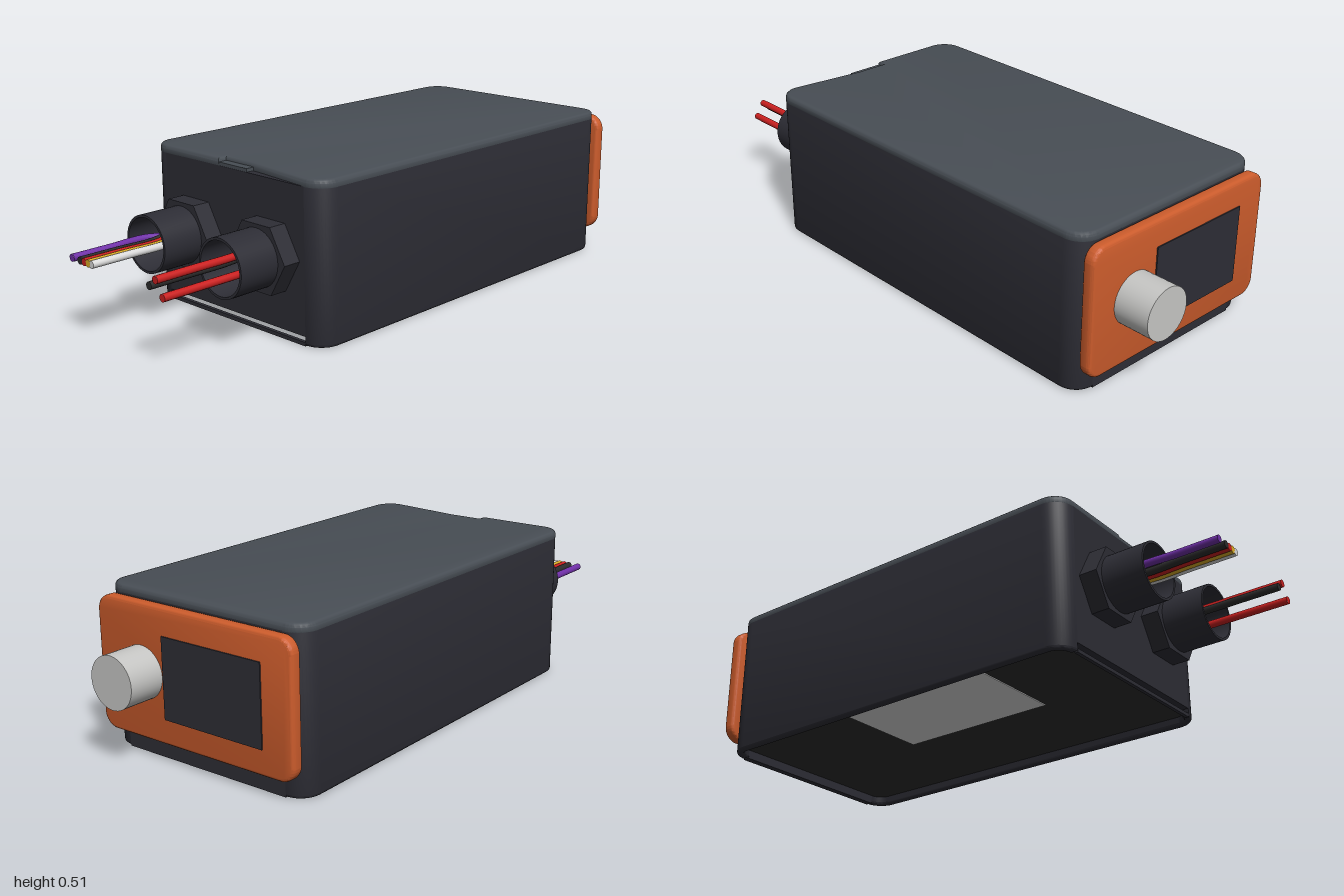
import * as THREE from 'three';
import { toCreasedNormals } from 'three/addons/utils/BufferGeometryUtils.js';

const mat = (name, color, side = THREE.FrontSide) => {
  const m = new THREE.MeshStandardMaterial({ color, side });
  m.name = name;
  return m;
};

// rounded rectangle centred on (cx, cy)
function roundRect(w, h, r, cx = 0, cy = 0) {
  const s = new THREE.Shape(), x = w / 2 - r, y = h / 2 - r;
  s.absarc(cx + x, cy + y, r, 0, Math.PI / 2);
  s.absarc(cx - x, cy + y, r, Math.PI / 2, Math.PI);
  s.absarc(cx - x, cy - y, r, Math.PI, Math.PI * 1.5);
  s.absarc(cx + x, cy - y, r, Math.PI * 1.5, Math.PI * 2);
  s.closePath();
  return s;
}

const circle = (x, y, r) => new THREE.Path().absarc(x, y, r, 0, Math.PI * 2, true);

// extrude with optional bevel that stays inside the outline
function extrude(shape, depth, bevel = 0) {
  const g = new THREE.ExtrudeGeometry(shape, {
    depth, curveSegments: 24, bevelEnabled: bevel > 0, bevelSize: bevel,
    bevelThickness: bevel, bevelOffset: -bevel, bevelSegments: 3,
  });
  return toCreasedNormals(g, 0.6);
}

export function createModel() {
  const group = new THREE.Group();
  const M = {
    body: mat('charcoal casing', 0x2d2d35),
    lid: mat('slate lid', 0x484e55),
    orange: mat('orange panel', 0xcc5c2c),
    silver: mat('silver knob', 0xc6c6c4),
    purple: mat('purple wire', 0x7030a8),
    red: mat('red wire', 0xcc2020),
    yellow: mat('yellow wire', 0xdcae28),
    white: mat('white', 0xdcdcdc),
    black: mat('black', 0x2c2c2c),
    tan: mat('tan board', 0xd59270),
  };
  const add = (name, geo, m, x = 0, y = 0, z = 0) => {
    const mesh = new THREE.Mesh(geo, m);
    mesh.name = name;
    mesh.position.set(x, y, z);
    group.add(mesh);
    return mesh;
  };
  const box = (name, m, x0, x1, y0, y1, z0, z1) => add(name,
    new THREE.BoxGeometry(x1 - x0, y1 - y0, z1 - z0), m,
    (x0 + x1) / 2, (y0 + y1) / 2, (z0 + z1) / 2);

  // side walls: C-shaped plan, drawn in (x, -z) and extruded upward
  const F = 0.57, B = -0.84, W = 0.38, R = 0.07, T = 0.025, E = 0.31;
  for (const side of [1, -1]) {
    const s = new THREE.Shape();
    const pts = [];
    const arc = (z, r, a0, a1) => {
      for (let i = 0; i <= 10; i++) {
        const a = a0 + (a1 - a0) * i / 10;
        pts.push(new THREE.Vector2(side * (W - R + r * Math.cos(a)), -z + r * Math.sin(a)));
      }
    };
    arc(F - R, R, -Math.PI / 2, 0);
    arc(B + R, R, 0, Math.PI / 2);
    arc(B + R, R - T, Math.PI / 2, 0);
    arc(F - R, R - T, 0, -Math.PI / 2);
    s.setFromPoints(pts);
    const wall = add(side > 0 ? 'leftWall' : 'rightWall', extrude(s, 0.475, 0.01), M.body, 0, 0.01, 0);
    wall.rotation.x = -Math.PI / 2;
  }

  // back frame around the control opening, and the front sill below a slot
  box('backLowerWall', M.body, -E, E, 0, 0.09, B, B + T);
  box('backUpperWall', M.body, -E, E, 0.45, 0.486, B, B + T);
  box('frontSill', M.body, -E, E, 0, 0.012, F - 0.012, F);

  // front plate with two cable holes
  const holeX = [-0.17, 0.17], holeY = 0.257;
  const plate = new THREE.Shape([[-E, 0.03], [E, 0.03], [E, 0.486], [-E, 0.486]]
    .map(p => new THREE.Vector2(...p)));
  holeX.forEach(x => plate.holes.push(circle(x, holeY, 0.047)));
  add('frontPlate', extrude(plate, T), M.body, 0, 0, F - T);

  // recessed floor with a pale label
  box('floor', M.black, -0.36, 0.36, 0.03, 0.042, B + T, F - T);
  box('floorLabel', M.white, -0.35, 0, 0.027, 0.031, -0.33, 0.23);

  // lid with a small finger notch at the front edge
  const lidShape = new THREE.Shape();
  lidShape.moveTo(0.056, -F);
  lidShape.absarc(W - R, -F + R, R, -Math.PI / 2, 0);
  lidShape.absarc(W - R, -B - R, R, 0, Math.PI / 2);
  lidShape.absarc(-W + R, -B - R, R, Math.PI / 2, Math.PI);
  lidShape.absarc(-W + R, -F + R, R, Math.PI, Math.PI * 1.5);
  lidShape.lineTo(-0.056, -F);
  lidShape.lineTo(-0.056, -F + 0.03);
  lidShape.lineTo(0.056, -F + 0.03);
  lidShape.closePath();
  const lid = add('lid', extrude(lidShape, 0.013, 0.012), M.lid, 0, 0.485, 0);
  lid.rotation.x = -Math.PI / 2;
  box('lidNotchFloor', M.lid, -0.068, 0.068, 0.485, 0.497, F - 0.043, F - 0.001);

  // back control panel, screen and knob
  add('controlPanel', extrude(roundRect(0.75, 0.42, 0.05, 0, 0.274), 0.02, 0.01), M.orange, 0, 0, -0.87);
  box('screen', M.body, -0.265, 0.11, 0.145, 0.4, -0.884, -0.876);
  const knob = add('knob', new THREE.CylinderGeometry(0.083, 0.083, 0.13, 48), M.silver, 0.198, 0.273, -0.935);
  knob.rotation.x = Math.PI / 2;

  // circuit board inside
  box('innerBoard', M.tan, 0.14, 0.3, 0.14, 0.38, -0.76, -0.75);

  // cable glands: hexagonal nut and open sleeve
  for (const x of holeX) {
    const hex = new THREE.Shape();
    const pts = [];
    for (let i = 0; i < 6; i++) {
      const a = i * Math.PI / 3;
      pts.push(new THREE.Vector2(0.12 * Math.cos(a), 0.12 * Math.sin(a)));
    }
    hex.setFromPoints(pts);
    hex.holes.push(circle(0, 0, 0.047));
    add('glandNut', extrude(hex, 0.06), M.body, x, holeY, F);
    const ring = new THREE.Shape().absarc(0, 0, 0.092, 0, Math.PI * 2);
    ring.holes.push(circle(0, 0, 0.084));
    add('glandSleeve', extrude(ring, 0.14), M.body, x, holeY, F + 0.06);
  }

  // wires: outer x, y and the inner bend x, y
  const wires = [
    ['purpleWire', M.purple, -0.222, 0.257, -0.175, 0.243],
    ['blackSignalWire', M.black, -0.183, 0.257, -0.178, 0.285],
    ['redSignalWire', M.red, -0.163, 0.257, -0.16, 0.285],
    ['yellowWire', M.yellow, -0.144, 0.257, -0.146, 0.28],
    ['whiteWire', M.white, -0.127, 0.257, -0.138, 0.268],
    ['blackPowerWire', M.black, 0.14, 0.257, 0.138, 0.265],
    ['redPowerWire', M.red, 0.168, 0.28, 0.163, 0.285],
    ['redReturnWire', M.red, 0.197, 0.235, 0.175, 0.225],
  ];
  for (const [name, m, x, y, ix, iy] of wires) {
    const path = new THREE.CatmullRomCurve3([
      [x, y, 0.999], [x, y, 0.86], [x, y, 0.72], [ix, iy, 0.6], [ix, iy, 0.5], [ix, iy + (iy - 0.257), 0.35],
    ].map(p => new THREE.Vector3(...p)));
    add(name, new THREE.TubeGeometry(path, 32, 0.012, 14), m);
    add(name + 'End', new THREE.CircleGeometry(0.012, 14), m, x, y, 0.999);
  }
  return group;
}
